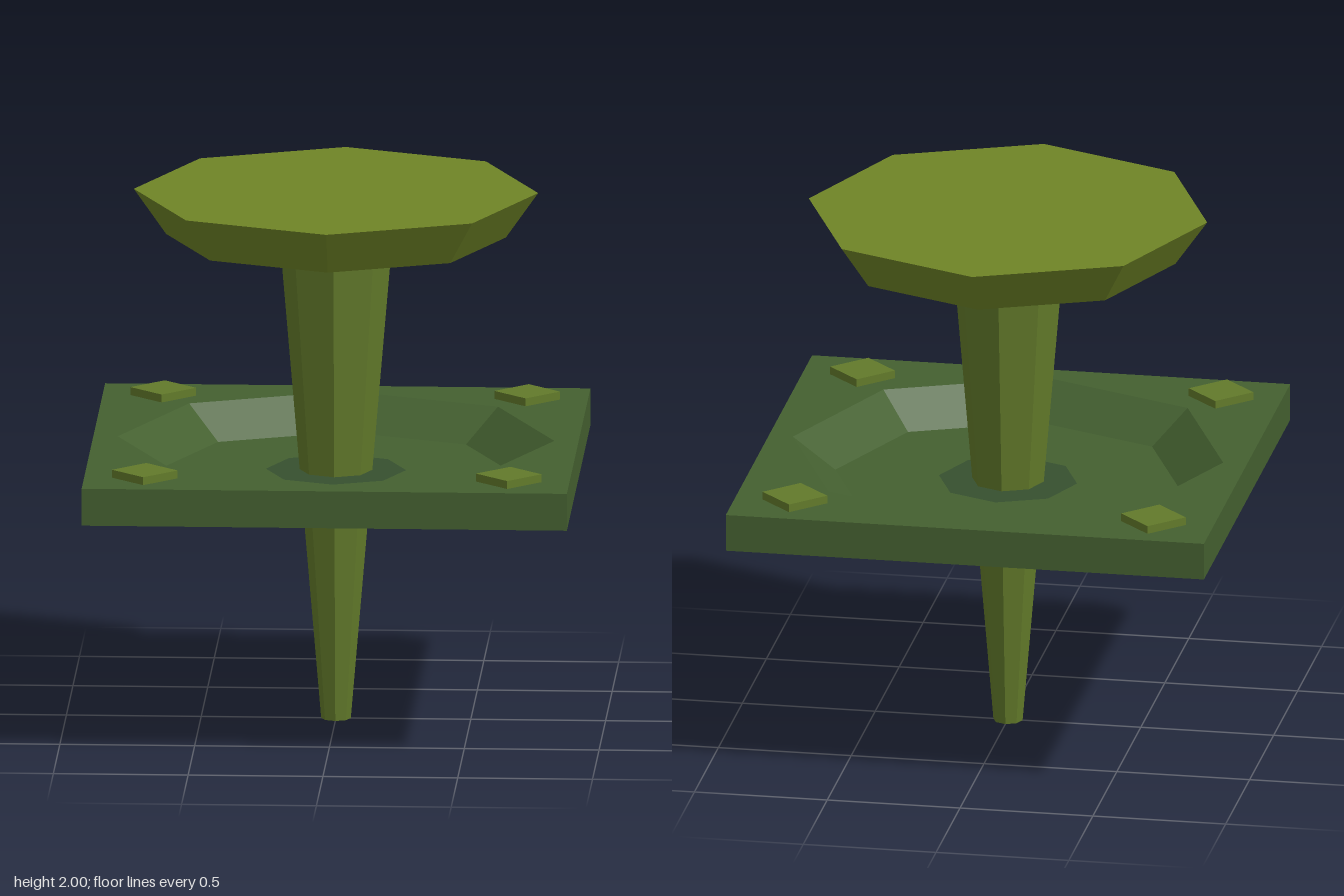
import * as THREE from 'three';

const material = (color) =>
  new THREE.MeshStandardMaterial({ color, flatShading: true, side: THREE.DoubleSide });

const lime = material(0x6f8426);
const olive = material(0x627a2a);
const green = material(0x446030);
const darkGreen = material(0x36502f);

// Faceted solid from a profile of [radius, height] pairs, listed bottom to top
function faceted(name, profile, sides, mat, phiStart = 0) {
  const points = profile.map(([r, y]) => new THREE.Vector2(r, y));
  const mesh = new THREE.Mesh(new THREE.LatheGeometry(points, sides, phiStart), mat);
  mesh.name = name;
  return mesh;
}

// Square sheet with an octagonal opening for the dish
function plateTop(half, holeRadius, y) {
  const shape = new THREE.Shape([
    new THREE.Vector2(-half, -half), new THREE.Vector2(half, -half),
    new THREE.Vector2(half, half), new THREE.Vector2(-half, half),
  ]);
  const corners = [];
  for (let i = 0; i < 8; i++) {
    const a = -i * Math.PI / 4;
    corners.push(new THREE.Vector2(holeRadius * Math.cos(a), holeRadius * Math.sin(a)));
  }
  shape.holes.push(new THREE.Path(corners));
  const mesh = new THREE.Mesh(new THREE.ShapeGeometry(shape).rotateX(-Math.PI / 2), green);
  mesh.position.y = y;
  mesh.name = 'plateTop';
  return mesh;
}

export function createModel() {
  const model = new THREE.Group();
  model.name = 'pin';

  // Flared octagonal head and tapering stem
  model.add(faceted('head', [[0, 1.83], [0.63, 1.83], [0.75, 2], [0, 2]], 8, lime));
  model.add(faceted('stem', [[0, 0], [0.055, 0], [0.21, 1.83]], 8, olive));

  // Hollow square plate, open underneath, with a sunken dish
  const plate = new THREE.Group();
  plate.name = 'plate';
  plate.add(plateTop(0.9, 0.81, 1.06));
  plate.add(faceted('plateWalls', [[0.9 * Math.SQRT2, 0.92], [0.9 * Math.SQRT2, 1.06]], 4, green, Math.PI / 4));
  plate.add(faceted('dish', [[0.81, 1.06], [0.65, 0.94], [0, 0.94]], 8, green));
  plate.add(faceted('dishCentre', [[0.26, 0.943], [0, 0.943]], 8, darkGreen));
  model.add(plate);

  // Diamond studs set through the four corners
  for (const x of [-1, 1]) {
    for (const z of [-1, 1]) {
      const stud = faceted('cornerStud', [[0.122, 1.02], [0.122, 1.09], [0, 1.09]], 4, olive);
      stud.position.set(x * 0.675, 0, z * 0.705);
      model.add(stud);
    }
  }
  return model;
}
